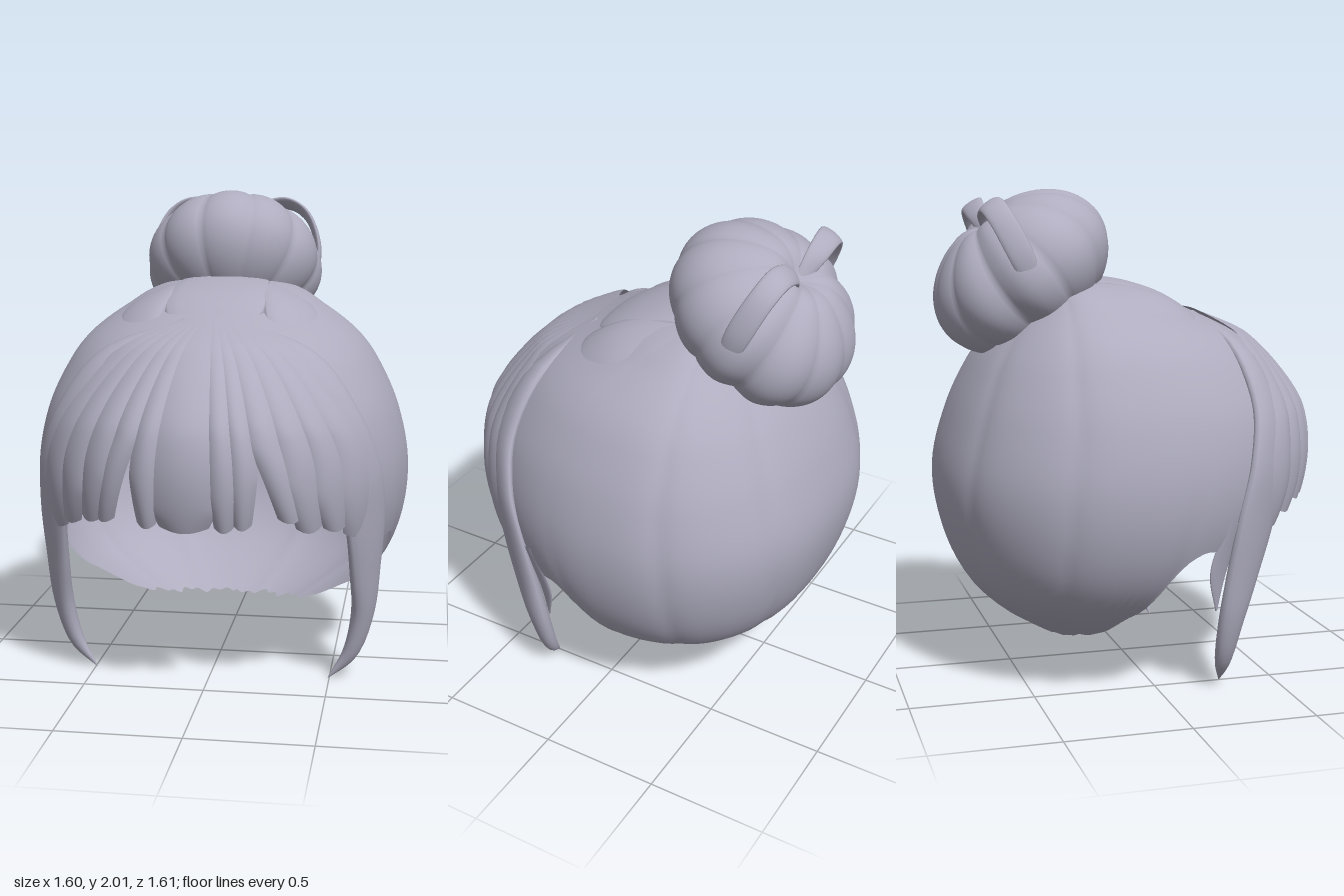
import * as THREE from 'three';

const hair = new THREE.MeshStandardMaterial({ color: 0xaeacbe, side: THREE.DoubleSide });
hair.name = 'hair grey lavender';

// Smooth interpolation of column c in a table whose first column is the key
function sample(table, key, c = 1) {
  const n = table.length;
  if (key <= table[0][0]) return table[0][c];
  if (key >= table[n - 1][0]) return table[n - 1][c];
  let i = 0;
  while (table[i + 1][0] < key) i++;
  const slope = (j) => {
    const a = table[Math.max(j - 1, 0)], b = table[Math.min(j + 1, n - 1)];
    return (b[c] - a[c]) / (b[0] - a[0]);
  };
  const d = table[i + 1][0] - table[i][0], t = (key - table[i][0]) / d;
  const t2 = t * t, t3 = t2 * t;
  return (2 * t3 - 3 * t2 + 1) * table[i][c] + (t3 - 2 * t2 + t) * d * slope(i)
    + (3 * t2 - 2 * t3) * table[i + 1][c] + (t3 - t2) * d * slope(i + 1);
}

// Smooth surface from a rule fn(u, v) -> [x, y, z], optionally closed around u
function surface(name, nu, nv, closed, fn) {
  const pos = [], index = [], cols = closed ? nu : nu + 1;
  for (let j = 0; j <= nv; j++)
    for (let i = 0; i < cols; i++) pos.push(...fn(i / nu, j / nv));
  for (let j = 0; j < nv; j++)
    for (let i = 0; i < nu; i++) {
      const a = j * cols + i, b = j * cols + (i + 1) % cols;
      index.push(a, b, b + cols, a, b + cols, a + cols);
    }
  const g = new THREE.BufferGeometry();
  g.setAttribute('position', new THREE.Float32BufferAttribute(pos, 3));
  g.setIndex(index);
  g.computeVertexNormals();
  const mesh = new THREE.Mesh(g, hair);
  mesh.name = name;
  return mesh;
}

// Head outline by height: y, half width, front z, back z, centre z
const HEAD = [
  [0.15, 0.28, 0.1, -0.36, -0.1], [0.27, 0.5, 0.3, -0.55, -0.1], [0.4, 0.66, 0.45, -0.68, -0.1],
  [0.6, 0.765, 0.64, -0.77, -0.1], [0.85, 0.8, 0.74, -0.805, -0.1], [1.1, 0.755, 0.73, -0.745, -0.1],
  [1.3, 0.665, 0.61, -0.65, -0.12], [1.42, 0.575, 0.47, -0.56, -0.14], [1.53, 0.43, 0.24, -0.45, -0.18],
  [1.62, 0.26, 0.03, -0.36, -0.22], [1.66, 0, -0.25, -0.25, -0.25],
];
// Hem height by angle from the front, in degrees
const HEM = [[0, 1.05], [36, 1.02], [50, 0.76], [63, 0.61], [76, 0.59], [84, 0.44], [90, 0.35],
  [98, 0.26], [107, 0.21], [130, 0.18], [180, 0.165]];
// How far fringe strands have fanned out, by height
const FAN = [[0.6, 1], [0.95, 1], [1.15, 0.87], [1.35, 0.62], [1.45, 0.4], [1.52, 0.1]];

function frontZ(x, y) {
  const r = Math.min(Math.abs(x) / sample(HEAD, y, 1), 0.98), c = sample(HEAD, y, 4);
  return c + (sample(HEAD, y, 2) - c) * Math.sqrt(1 - r * r);
}

// Hair swept back over the head, combed in panels that meet at shallow creases
function buildCap() {
  return surface('sweptBackHair', 160, 56, true, (u, v) => {
    const a = (u - 0.5) * Math.PI * 2, s = Math.sin(a), c = Math.cos(a);
    const deg = Math.abs(a) * 180 / Math.PI;
    const jag = deg > 60 ? 0.005 * Math.sin(u * 190) + 0.005 * Math.sin(u * 83) : 0;
    const hem = sample(HEM, deg) + jag;
    const y = hem + (1.66 - hem) * Math.sin(v * Math.PI / 2);
    const e = c < 0 ? 0.88 : 1;
    const crease = Math.abs(Math.sin(4.5 * Math.abs(a) + 0.7 * Math.sin(v * 4)));
    const ridge = 1.002 - 0.014 * (1 - crease) ** 3 * THREE.MathUtils.clamp((0.3 - c) * 4, 0, 1);
    const zc = sample(HEAD, y, 4), reach = Math.abs(sample(HEAD, y, c < 0 ? 3 : 2) - zc);
    return [
      sample(HEAD, y, 1) * Math.sign(s) * Math.abs(s) ** e * ridge, y,
      zc + reach * Math.sign(c) * Math.abs(c) ** e * ridge,
    ];
  });
}

// One fringe strand: x range, tip height, height where it separates, sideways lean of the tip
function fringeStrand(x0, x1, tip, slit, lean = 0) {
  return surface('fringeStrand', 12, 32, false, (u, v) => {
    const k = u * 2 - 1;
    const y = THREE.MathUtils.lerp(1.515, tip + 0.02 * k * k, v);
    const drop = Math.max(0, (slit - y) / (slit - tip));
    const x = ((x0 + x1) / 2 + k * (x1 - x0) / 2 * (1.12 - 0.38 * drop) + lean * drop) * sample(FAN, y);
    const crown = 0.02 * Math.exp(-(((y - 1.43) / 0.05) ** 2));
    const lift = 0.028 + 0.025 * (1 - k * k) * Math.min(1, v * 2);
    return [x * (1 + lift * 0.4), y, frontZ(x, y) + lift + crown];
  });
}

// Flattened lock swept along points [x, y, z, half width, half thickness]
function lock(name, pts, side = 1, centre = [0, 0.9, -0.1]) {
  const curve = new THREE.CatmullRomCurve3(pts.map((p) => new THREE.Vector3(p[0] * side, p[1], p[2])));
  const sizes = pts.map((p, i) => [i / (pts.length - 1), p[3], p[4]]);
  return surface(name, 16, 36, true, (u, v) => {
    const p = curve.getPoint(v), t = curve.getTangent(v), a = u * Math.PI * 2 * side;
    const out = new THREE.Vector3(p.x - centre[0] * side, p.y - Math.min(p.y, centre[1]), p.z - centre[2]);
    out.addScaledVector(t, -out.dot(t)).normalize();
    const across = new THREE.Vector3().crossVectors(t, out);
    p.addScaledVector(across, Math.cos(a) * sample(sizes, v, 1));
    p.addScaledVector(out, Math.sin(a) * sample(sizes, v, 2));
    return p.toArray();
  });
}

// Ribbed bun, pinched at the pole that points up and back
function buildBun() {
  const bun = surface('bun', 132, 48, true, (u, v) => {
    const a = -u * Math.PI * 2, b = v * Math.PI;
    const rib = Math.abs(Math.sin(5.5 * a + Math.PI / 2)) ** 0.7;
    const waist = 0.05 * Math.exp(-(((Math.abs(Math.sin(a / 2)) - 0.84) / 0.05) ** 2));
    const r = 0.965 + (0.045 * rib - waist) * Math.sin(b) - 0.2 * Math.exp(-b * b * 22);
    const high = b < Math.PI / 2 ? 0.3 : 0.28;
    return [0.39 * r * Math.sin(b) * Math.sin(a), high * r * Math.cos(b), 0.405 * r * Math.sin(b) * Math.cos(a)];
  });
  bun.position.set(0, 1.67, -0.43);
  bun.rotation.x = -0.68;
  return bun;
}

export function createModel() {
  const model = new THREE.Group();
  model.name = 'hairWithBun';
  model.add(buildCap(), buildBun());

  // Fringe, open on both sides of the middle strands
  const fringe = new THREE.Group();
  fringe.name = 'fringe';
  [
    [-0.24, -0.14, 0.745, 0.95, 0.01], [-0.15, 0.08, 0.735, 0.82], [0.07, 0.165, 0.74, 0.88], [0.15, 0.24, 0.75, 0.95, -0.01],
    [0.235, 0.35, 0.77, 1.07, 0.07], [0.34, 0.46, 0.72, 0.92, 0.03], [0.45, 0.56, 0.71, 0.86, 0.02], [0.54, 0.66, 0.67, 0.85],
    [-0.34, -0.235, 0.75, 1.09, -0.07], [-0.45, -0.33, 0.74, 0.93, -0.03], [-0.56, -0.44, 0.71, 0.86, -0.02], [-0.66, -0.53, 0.67, 0.85],
  ].forEach((s) => fringe.add(fringeStrand(...s)));
  model.add(fringe);

  // Raised strands between the fringe and the bun
  model.add(lock('crownStrand', [
    [0, 1.62, -0.35, 0.16, 0.02], [0, 1.625, -0.12, 0.2, 0.03], [0, 1.585, 0.06, 0.22, 0.035],
    [0, 1.525, 0.19, 0.21, 0.035], [0, 1.47, 0.28, 0.15, 0.02],
  ]));

  for (const side of [1, -1]) {
    model.add(lock('crownSideStrand', [
      [0.14, 1.61, -0.35, 0.1, 0.02], [0.24, 1.58, -0.12, 0.13, 0.035], [0.305, 1.53, 0.05, 0.14, 0.04],
      [0.325, 1.46, 0.18, 0.13, 0.04], [0.32, 1.4, 0.28, 0.09, 0.02],
    ], side));

    // Long lock framing the face
    model.add(lock('sideLock', [
      [0.1, 1.49, 0.28, 0.03, 0.02], [0.4, 1.35, 0.4, 0.08, 0.03], [0.55, 1.13, 0.45, 0.1, 0.035],
      [0.62, 0.92, 0.43, 0.12, 0.035], [0.645, 0.72, 0.38, 0.12, 0.035], [0.645, 0.5, 0.325, 0.095, 0.04],
      [0.635, 0.3, 0.28, 0.065, 0.04], [0.585, 0.12, 0.265, 0.04, 0.03], [0.495, 0.01, 0.28, 0.002, 0.002],
    ], side));

    // Short wisp behind the long lock
    model.add(lock('sideWisp', [
      [0.7, 0.72, 0.27, 0.04, 0.01], [0.675, 0.52, 0.21, 0.045, 0.01], [0.65, 0.35, 0.21, 0.004, 0.004],
    ], side));

    // Band looping over the bun
    model.add(lock('bunLoop', [
      [0.02, 1.83, -0.57, 0.03, 0.012], [0.11, 1.92, -0.6, 0.045, 0.014], [0.22, 1.95, -0.6, 0.05, 0.014],
      [0.31, 1.9, -0.575, 0.05, 0.014], [0.37, 1.76, -0.51, 0.05, 0.014], [0.36, 1.6, -0.44, 0.035, 0.012],
    ], side, [0, 1.67, -0.43]));
  }
  return model;
}
